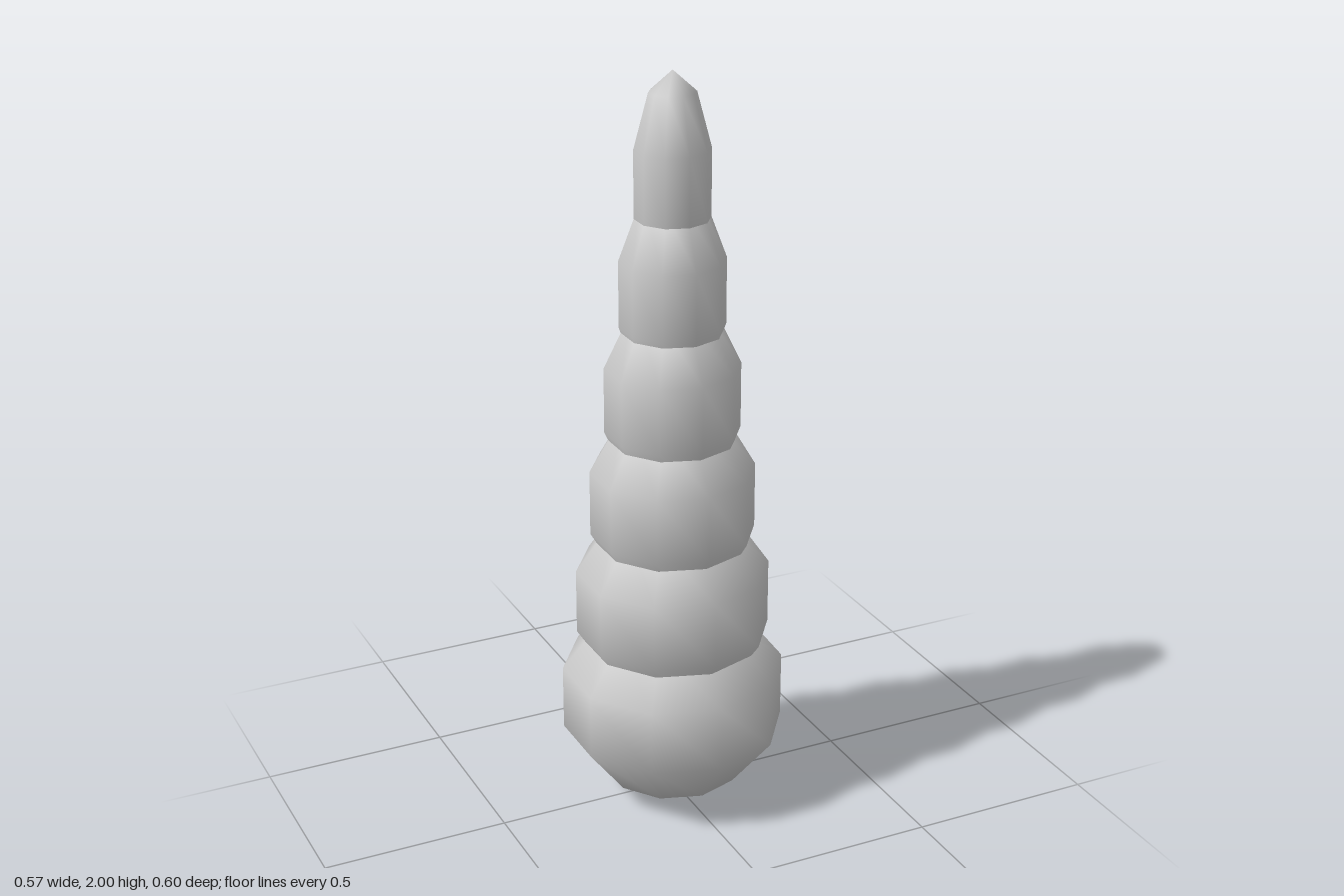
import * as THREE from 'three';

// Tapering spire of overlapping low-sided ellipsoid beads
export function createModel() {
  const group = new THREE.Group();
  group.name = 'beadedSpire';
  const grey = new THREE.MeshStandardMaterial({ color: 0xcccccc });
  grey.name = 'light grey';

  const count = 6;
  const halfHeight = 0.286;
  const bead = new THREE.SphereGeometry(1, 10, 5);
  bead.rotateY(Math.PI / 2); // corners on the z axis

  // Each bead keeps its height and narrows by a fixed step
  for (let i = 0; i < count; i++) {
    const radius = 0.313 - 0.042 * i;
    const mesh = new THREE.Mesh(bead, grey);
    mesh.name = `bead${i + 1}`;
    mesh.scale.set(radius, halfHeight, radius);
    mesh.position.y = halfHeight + (i * (2 - 2 * halfHeight)) / (count - 1);
    group.add(mesh);
  }
  return group;
}
